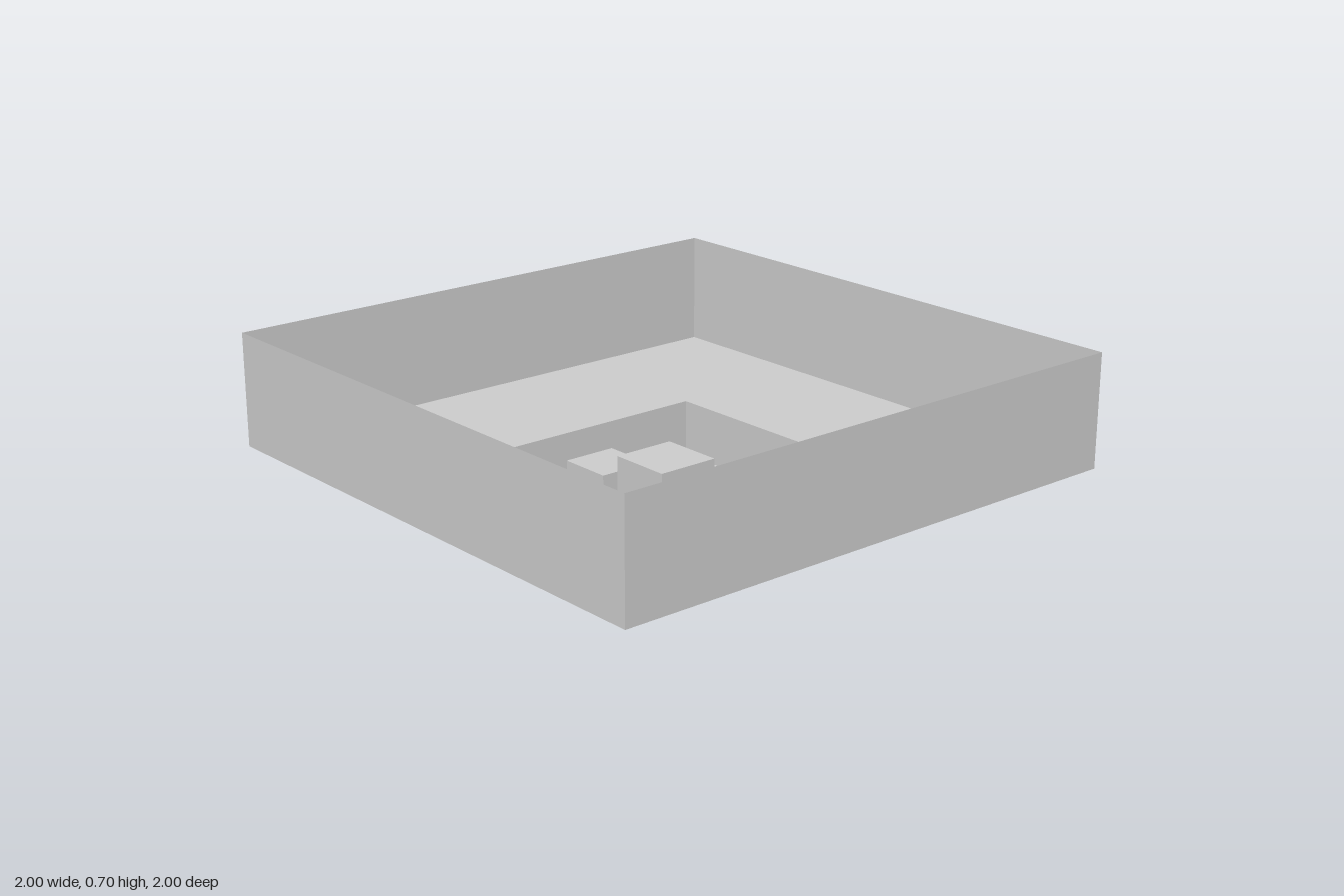
import * as THREE from 'three';
import { mergeGeometries } from 'three/addons/utils/BufferGeometryUtils.js';

const material = new THREE.MeshStandardMaterial({
  color: 0xcccccc, flatShading: true, side: THREE.DoubleSide,
});

// Four upright thin walls around a rectangle, from y0 to y1
function walls(hx, hz, y0, y1) {
  const parts = [];
  for (let i = 0; i < 4; i++) {
    const [across, out] = i % 2 ? [hz, hx] : [hx, hz];
    const wall = new THREE.PlaneGeometry(across * 2, y1 - y0);
    wall.translate(0, (y0 + y1) / 2, out).rotateY(i * Math.PI / 2);
    parts.push(wall);
  }
  return mergeGeometries(parts);
}

function rectangle(path, hx, hz) {
  path.moveTo(-hx, -hz).lineTo(hx, -hz).lineTo(hx, hz).lineTo(-hx, hz).closePath();
  return path;
}

// Flat sheet at height y, with an optional rectangular opening
function sheet(hx, hz, y, opening) {
  const shape = rectangle(new THREE.Shape(), hx, hz);
  if (opening) shape.holes.push(rectangle(new THREE.Path(), ...opening));
  return new THREE.ShapeGeometry(shape).rotateX(-Math.PI / 2).translate(0, y, 0);
}

export function createModel() {
  const model = new THREE.Group();
  const add = (name, geometry) => {
    const mesh = new THREE.Mesh(geometry, material);
    mesh.name = name;
    model.add(mesh);
  };
  const basin = [0.41, 0.445];
  const post = [0.115, 0.115];

  // Wide open tray
  add('trayWalls', walls(1, 1, 0.3, 0.7));
  add('trayFloor', sheet(1, 1, 0.3, basin));

  // Sunken basin in the middle of the tray
  add('basinWalls', walls(...basin, 0.1, 0.3));
  add('basinFloor', sheet(...basin, 0.1, post));

  // Raised centre post, hollow from underneath
  add('postWalls', walls(...post, 0.1, 0.3));
  add('postTop', sheet(...post, 0.3));

  // Small block passing through the basin floor against its side wall
  add('drainBlock', new THREE.BoxGeometry(0.2, 0.2, 0.2).translate(-0.31, 0.1, 0));

  return model;
}
